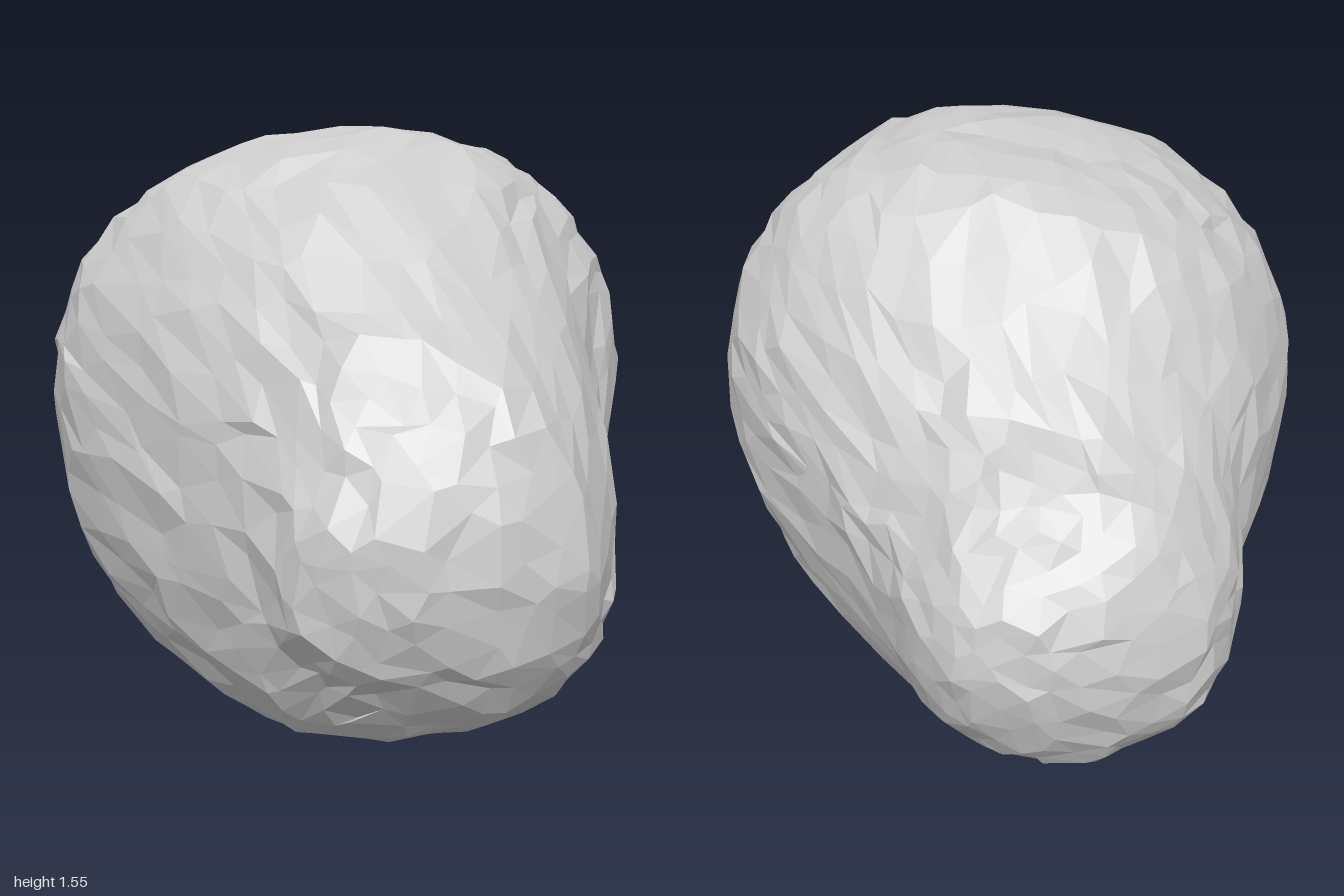
import * as THREE from 'three';
import { mergeVertices } from 'three/addons/utils/BufferGeometryUtils.js';

// Cross-sections from back to front. Each lists z, then the outermost points of its outline:
// left x, right x, bottom y, top y, then x of top, x of bottom, y of left, y of right
const SECTIONS = [
  [-1.0, -0.2, -0.2, 0.68, 0.68, -0.2, -0.2, 0.68, 0.68],
  [-0.975, -0.35, -0.08, 0.53, 0.78, -0.21, -0.22, 0.65, 0.67],
  [-0.9, -0.51, 0.02, 0.37, 0.9, -0.23, -0.25, 0.63, 0.66],
  [-0.78, -0.65, 0.12, 0.27, 1.02, -0.24, -0.25, 0.64, 0.7],
  [-0.61, -0.7, 0.31, 0.2, 1.11, -0.13, -0.2, 0.66, 0.8],
  [-0.42, -0.68, 0.55, 0.18, 1.31, 0.02, -0.1, 0.72, 0.87],
  [-0.2, -0.72, 0.69, 0.08, 1.5, 0.05, -0.05, 0.82, 0.92],
  [0.0, -0.75, 0.7, 0.0, 1.53, 0.1, -0.04, 0.88, 0.9],
  [0.2, -0.74, 0.69, 0.03, 1.54, 0.08, 0.0, 0.88, 0.72],
  [0.42, -0.66, 0.75, 0.1, 1.45, -0.05, 0.05, 0.85, 0.54],
  [0.61, -0.43, 0.75, 0.12, 1.28, 0.05, 0.1, 0.75, 0.52],
  [0.78, -0.17, 0.71, 0.2, 1.09, 0.2, 0.16, 0.64, 0.55],
  [0.9, 0.03, 0.57, 0.35, 0.91, 0.25, 0.22, 0.6, 0.58],
  [0.975, 0.11, 0.41, 0.46, 0.75, 0.25, 0.25, 0.6, 0.6],
  [1.0, 0.25, 0.25, 0.6, 0.6, 0.25, 0.25, 0.6, 0.6],
];

// Repeatable pseudo-random values from -1 to 1
function makeRandom(seed) {
  let s = seed;
  return () => {
    s = (s * 16807) % 2147483647;
    return (s / 2147483647) * 2 - 1;
  };
}

// Smooth curve through three neighbouring columns of the sections
const column = (first) => new THREE.CatmullRomCurve3(
  SECTIONS.map((s) => new THREE.Vector3(s[first], s[first + 1], s[first + 2])),
  false, 'catmullrom', 0.5);

// A ball of even triangles whose vertices are moved onto the sections
function boulderGeometry(detail) {
  const ball = new THREE.IcosahedronGeometry(1, detail);
  ball.deleteAttribute('normal');
  ball.deleteAttribute('uv');
  const geometry = mergeVertices(ball, 1e-4);
  const position = geometry.getAttribute('position');
  const curves = [column(0), column(3), column(6)];
  const random = makeRandom(71);
  const soften = (v) => Math.sign(v) * Math.abs(v) ** 0.94;
  const d = new THREE.Vector3();

  for (let i = 0; i < position.count; i++) {
    // Slide each vertex a little so the facets are uneven
    d.fromBufferAttribute(position, i);
    d.x += random() * 0.035;
    d.y += random() * 0.035;
    d.z += random() * 0.035;
    d.normalize();

    const t = Math.acos(-d.z) / Math.PI;
    const [w, h, m] = curves.map((c) => c.getPoint(t));
    const [left, right, bottom, top] = [w.y, w.z, h.x, h.y];
    const angle = Math.atan2(d.y, d.x);
    const c = soften(Math.cos(angle)), s = soften(Math.sin(angle));

    // Four quarter arcs join the outermost points
    const midX = s > 0 ? h.z : m.x;
    const midY = c > 0 ? m.z : m.y;
    const x = midX + c * (c > 0 ? right - midX : midX - left);
    const y = midY + s * (s > 0 ? top - midY : midY - bottom);

    // Small chips in and out of the surface
    const chip = random() * 0.01;
    position.setXYZ(i,
      x + d.x * chip,
      Math.max(0, y + d.y * chip),
      THREE.MathUtils.clamp(w.x + d.z * chip, -1, 1));
  }
  geometry.computeVertexNormals();
  return geometry;
}

export function createModel() {
  const group = new THREE.Group();
  group.name = 'rock';
  const material = new THREE.MeshStandardMaterial({ color: 0xcccccc, flatShading: true });
  const boulder = new THREE.Mesh(boulderGeometry(10), material);
  boulder.name = 'boulder';
  group.add(boulder);
  return group;
}
